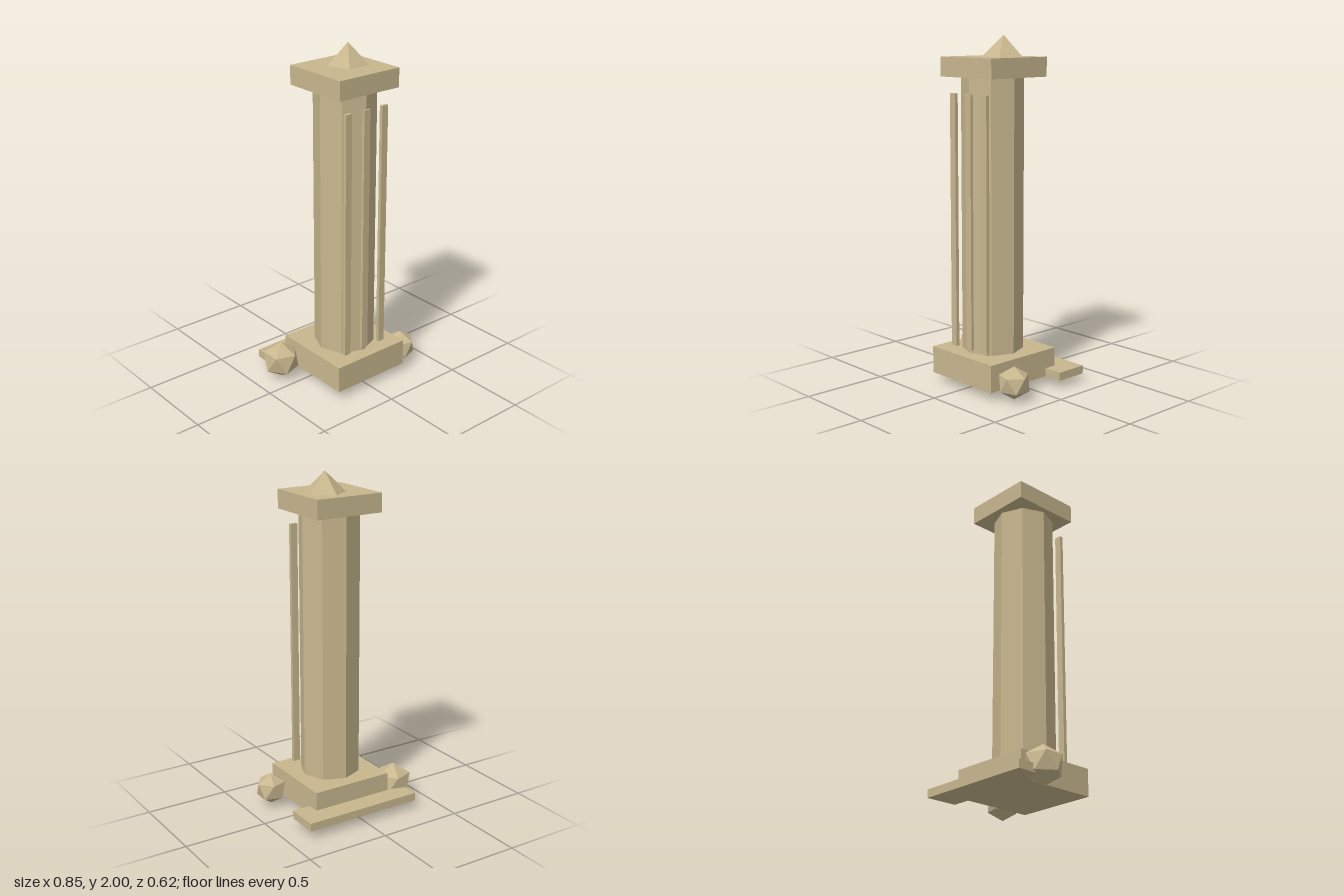
import * as THREE from 'three';

export function createModel() {
  const group = new THREE.Group();
  const sandstone = new THREE.MeshStandardMaterial({ color: 0xc8b78e, flatShading: true });
  sandstone.name = 'sandstone';

  function add(name, geometry, x, y, z) {
    const mesh = new THREE.Mesh(geometry, sandstone);
    mesh.name = name;
    mesh.position.set(x, y, z);
    group.add(mesh);
    return mesh;
  }

  // Box given by its limits on each axis
  function block(name, [x0, x1], [y0, y1], [z0, z1]) {
    return add(name, new THREE.BoxGeometry(x1 - x0, y1 - y0, z1 - z0),
      (x0 + x1) / 2, (y0 + y1) / 2, (z0 + z1) / 2);
  }

  // Plinth with a low step behind it
  block('plinth', [-0.235, 0.265], [0.05, 0.208], [-0.19, 0.31]);
  block('rearStep', [-0.348, 0.377], [0.05, 0.098], [-0.312, -0.118]);

  // Eight-sided shaft, one corner facing forward
  add('shaft', new THREE.CylinderGeometry(0.176, 0.176, 1.57, 8), 0.011, 0.99, 0.064);

  // Upright strips along the front
  for (const dx of [-0.129, 0, 0.129]) {
    const x = 0.012 + dx;
    block('flutingStrip', [x - 0.021, x + 0.021], [0.227, 1.68], [0.228, 0.249]);
  }

  // Capital and five-sided finial
  block('capital', [-0.196, 0.222], [1.77, 1.88], [-0.151, 0.267]);
  add('finial', new THREE.ConeGeometry(0.121, 0.12, 5, 1, false, Math.PI), 0.062, 1.94, 0.028);

  // Boulders, each standing on a vertex
  const tilt = -Math.atan(2 / (1 + Math.sqrt(5)));
  for (const [name, r, x, y, z] of [
    ['rightBoulder', 0.1135, -0.325, 0.1135, -0.118],
    ['leftBoulder', 0.0955, 0.338, 0.105, 0.204],
  ]) {
    add(name, new THREE.IcosahedronGeometry(r, 0).rotateZ(tilt), x, y, z);
  }

  return group;
}
